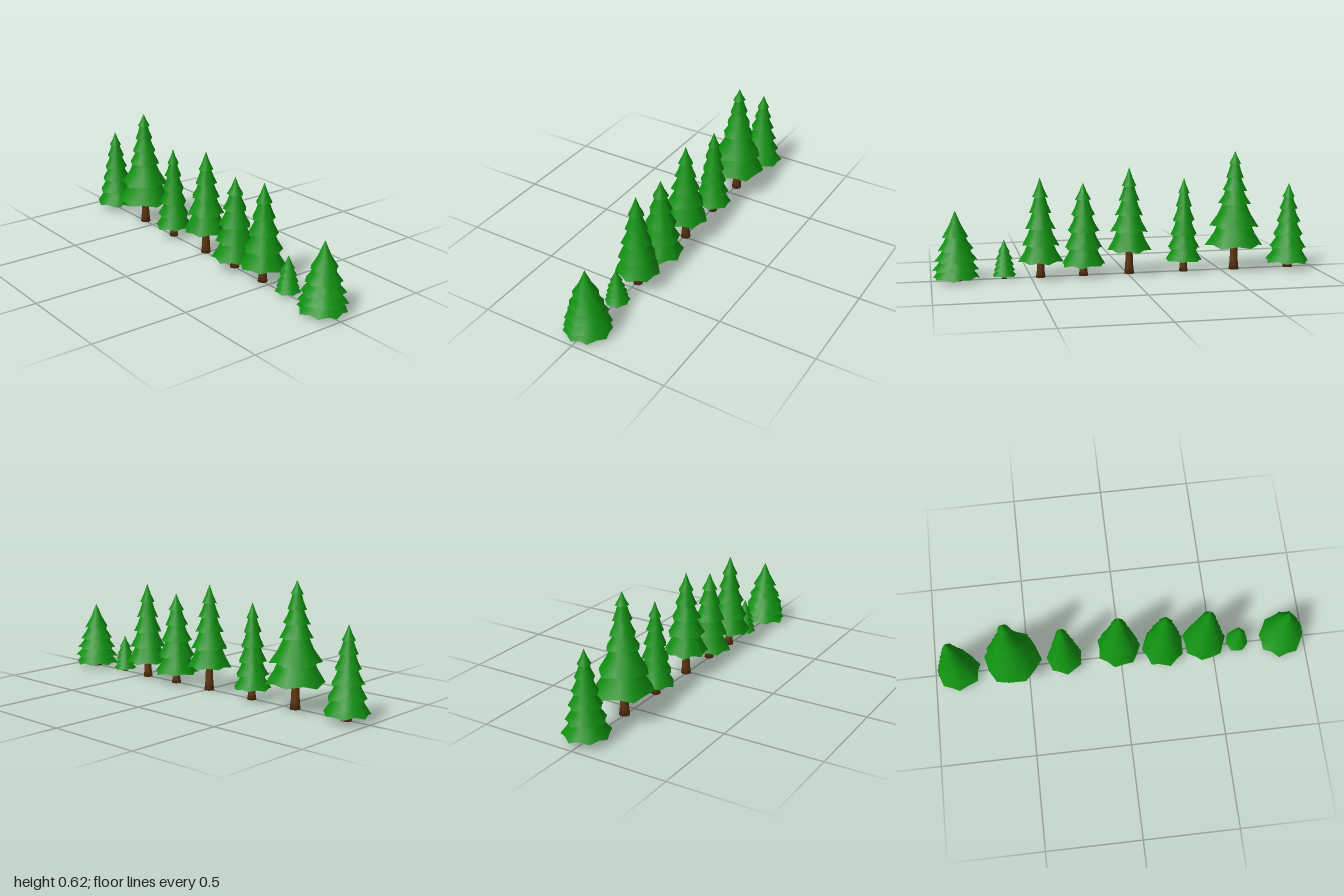
import * as THREE from 'three';

const needles = new THREE.MeshStandardMaterial({ color: 0x109010, side: THREE.DoubleSide });
needles.name = 'needleGreen';
const bark = new THREE.MeshStandardMaterial({ color: 0x5e3512 });
bark.name = 'barkBrown';

// Each tree: position, height, trunk radius, tips per tier, and tiers as [rim height, rim radius], top first
const TREES = [
  { z: 0.875, h: 0.355, trunk: 0.028, n: 8, tiers: [[0.22, 0.068], [0.155, 0.092], [0.1, 0.108], [0.052, 0.12], [0.013, 0.122]] },
  { z: 0.635, h: 0.2, trunk: 0.013, n: 7, tiers: [[0.135, 0.032], [0.1, 0.044], [0.068, 0.052], [0.04, 0.058], [0.014, 0.064]] },
  { z: 0.45, h: 0.51, trunk: 0.025, n: 7, tiers: [[0.41, 0.042], [0.33, 0.06], [0.25, 0.08], [0.165, 0.1], [0.08, 0.118]] },
  { z: 0.23, h: 0.48, trunk: 0.025, n: 7, tiers: [[0.39, 0.042], [0.31, 0.062], [0.225, 0.085], [0.14, 0.1], [0.053, 0.116]] },
  { z: -0.01, h: 0.55, trunk: 0.026, n: 7, tiers: [[0.455, 0.04], [0.38, 0.058], [0.305, 0.077], [0.22, 0.098], [0.122, 0.118]] },
  { z: -0.3, h: 0.49, trunk: 0.024, n: 7, tiers: [[0.41, 0.032], [0.34, 0.046], [0.265, 0.06], [0.19, 0.074], [0.12, 0.085], [0.055, 0.1]] },
  { z: -0.575, h: 0.625, trunk: 0.027, n: 6, tiers: [[0.558, 0.034], [0.485, 0.05], [0.415, 0.068], [0.345, 0.087], [0.225, 0.13], [0.125, 0.156]] },
  { z: -0.875, h: 0.45, trunk: 0.027, n: 7, tiers: [[0.375, 0.034], [0.31, 0.05], [0.24, 0.066], [0.17, 0.084], [0.1, 0.1], [0.028, 0.12]] },
];

function seeded(seed) {
  let s = seed * 7919 + 17;
  return () => (s = (s * 16807) % 2147483647) / 2147483647;
}

// Loft closed rings of equal length into a smooth surface
function loft(rings) {
  const m = rings[0].length, index = [];
  for (let r = 0; r < rings.length - 1; r++) {
    for (let i = 0; i < m; i++) {
      const j = (i + 1) % m, a = r * m, b = a + m;
      index.push(a + i, a + j, b + i, a + j, b + j, b + i);
    }
  }
  const g = new THREE.BufferGeometry().setFromPoints(rings.flat());
  g.setIndex(index);
  g.computeVertexNormals();
  return g;
}

// A drooping skirt with a zigzag rim, and the hollow cone beneath it
function addTier(tree, top, topR, rimY, rimR, n, rnd, twist) {
  const rim = [];
  for (let i = 0; i < n * 2; i++) {
    const tip = i % 2 === 0;
    const a = -(i / (n * 2)) * Math.PI * 2 + twist + (rnd() - 0.5) * 0.12;
    const r = rimR * (tip ? 0.94 + rnd() * 0.08 : 0.87 + rnd() * 0.03);
    const y = rimY + (tip ? rnd() * 0.06 : 0.1) * rimR;
    rim.push(new THREE.Vector3(Math.cos(a) * r, y, Math.sin(a) * r));
  }
  const ring = (t, y, scale) => rim.map(p => {
    const round = p.clone().setY(0).setLength(rimR * 0.93);
    return p.clone().setY(0).lerp(round, 1 - t).multiplyScalar(scale / rimR)
      .setY(THREE.MathUtils.lerp(y, p.y, t * t * t));
  });
  const midY = THREE.MathUtils.lerp(top, rimY, 0.5);
  const midR = THREE.MathUtils.lerp(topR, rimR, 0.48);
  const skirt = new THREE.Mesh(loft([ring(0, top, topR), ring(0.45, midY, midR), rim]), needles);
  skirt.name = 'needleSkirt';
  const roof = rim.map(() => new THREE.Vector3(0, rimY + (top - rimY) * 0.6, 0));
  const under = new THREE.Mesh(loft([rim, roof]), needles);
  under.name = 'skirtUnderside';
  tree.add(skirt, under);
}

function makeTree(spec, seed) {
  const tree = new THREE.Group(), rnd = seeded(seed);
  tree.name = 'pineTree' + seed;
  // Trunk with a flared foot
  const [baseY] = spec.tiers[spec.tiers.length - 1];
  const t = spec.trunk, topY = baseY + spec.h * 0.15;
  const profile = [[0, 0], [t, 0], [t * 0.82, topY * 0.2], [t * 0.72, topY * 0.5], [t * 0.6, topY], [0, topY]];
  const trunk = new THREE.Mesh(
    new THREE.LatheGeometry(profile.map(p => new THREE.Vector2(...p)), 9), bark);
  trunk.name = 'trunk';
  tree.add(trunk);
  // Tiers, each starting inside the one above
  let top = spec.h, topR = 0.0005;
  spec.tiers.forEach(([y, r], i) => {
    addTier(tree, top, topR, y, r, spec.n, rnd, i * 0.9 + seed * 0.5);
    top = y + r * 0.35;
    topR = r * 0.6;
  });
  tree.position.set(0.005, 0, spec.z);
  return tree;
}

export function createModel() {
  const model = new THREE.Group();
  model.name = 'pineTreeRow';
  TREES.forEach((spec, i) => model.add(makeTree(spec, i + 1)));
  return model;
}
